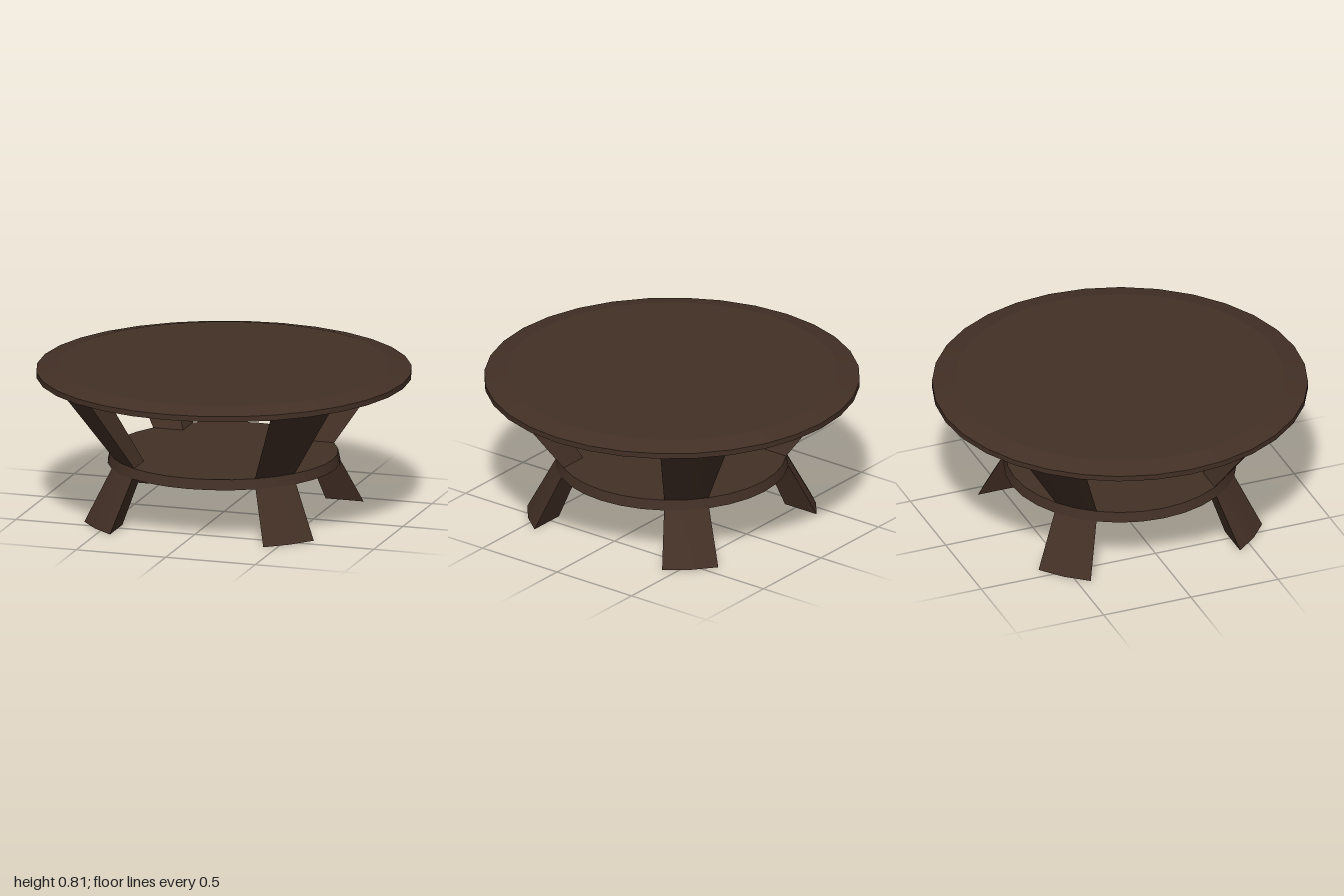
import * as THREE from 'three';
import { toCreasedNormals } from 'three/addons/utils/BufferGeometryUtils.js';

const SIDES = 32;
const STEP = (Math.PI * 2) / SIDES;

// Leg section: two facets of a 32-sided cone outside, a square corner inside
function legRing(r, y) {
  const inner = r * Math.sin(3 * STEP);
  const ring = [new THREE.Vector3(inner, y, inner)];
  for (let k = 3; k <= 5; k++) {
    ring.push(new THREE.Vector3(r * Math.cos(k * STEP), y, r * Math.sin(k * STEP)));
  }
  return ring;
}

// Straight leg piece between two radii and heights
function legGeometry(r0, y0, r1, y1) {
  const low = legRing(r0, y0);
  const high = legRing(r1, y1);
  const points = [];
  for (let i = 0; i < 4; i++) {
    const j = (i + 1) % 4;
    points.push(low[i], high[i], high[j], low[i], high[j], low[j]);
  }
  for (let i = 1; i < 3; i++) {
    points.push(low[0], low[i], low[i + 1]);
    points.push(high[0], high[i + 1], high[i]);
  }
  const geometry = new THREE.BufferGeometry().setFromPoints(points);
  return toCreasedNormals(geometry, 0.5);
}

export function createModel() {
  const group = new THREE.Group();
  const wood = new THREE.MeshStandardMaterial({ color: 0x433026 });
  wood.name = 'dark wood';

  const add = (name, geometry, parent = group) => {
    const mesh = new THREE.Mesh(geometry, wood);
    mesh.name = name;
    parent.add(mesh);
    return mesh;
  };
  const disc = (name, rTop, rBottom, y0, y1) => {
    const mesh = add(name, new THREE.CylinderGeometry(rTop, rBottom, y1 - y0, SIDES));
    mesh.position.y = (y0 + y1) / 2;
  };

  // Round top with a bevelled upper edge, and the lower shelf
  disc('tabletopRim', 1, 1, 0.755, 0.785);
  disc('tabletopBevel', 0.88, 1, 0.785, 0.812);
  disc('shelf', 0.608, 0.62, 0.28, 0.335);

  // Four legs on the diagonals, pinched in at the shelf
  const foot = legGeometry(0.771, 0, 0.62, 0.28);
  const support = legGeometry(0.608, 0.335, 0.926, 0.755);
  for (let i = 0; i < 4; i++) {
    const leg = new THREE.Group();
    leg.name = 'leg';
    leg.rotation.y = (i * Math.PI) / 2;
    add('lowerLeg', foot, leg);
    add('upperLeg', support, leg);
    group.add(leg);
  }
  return group;
}
